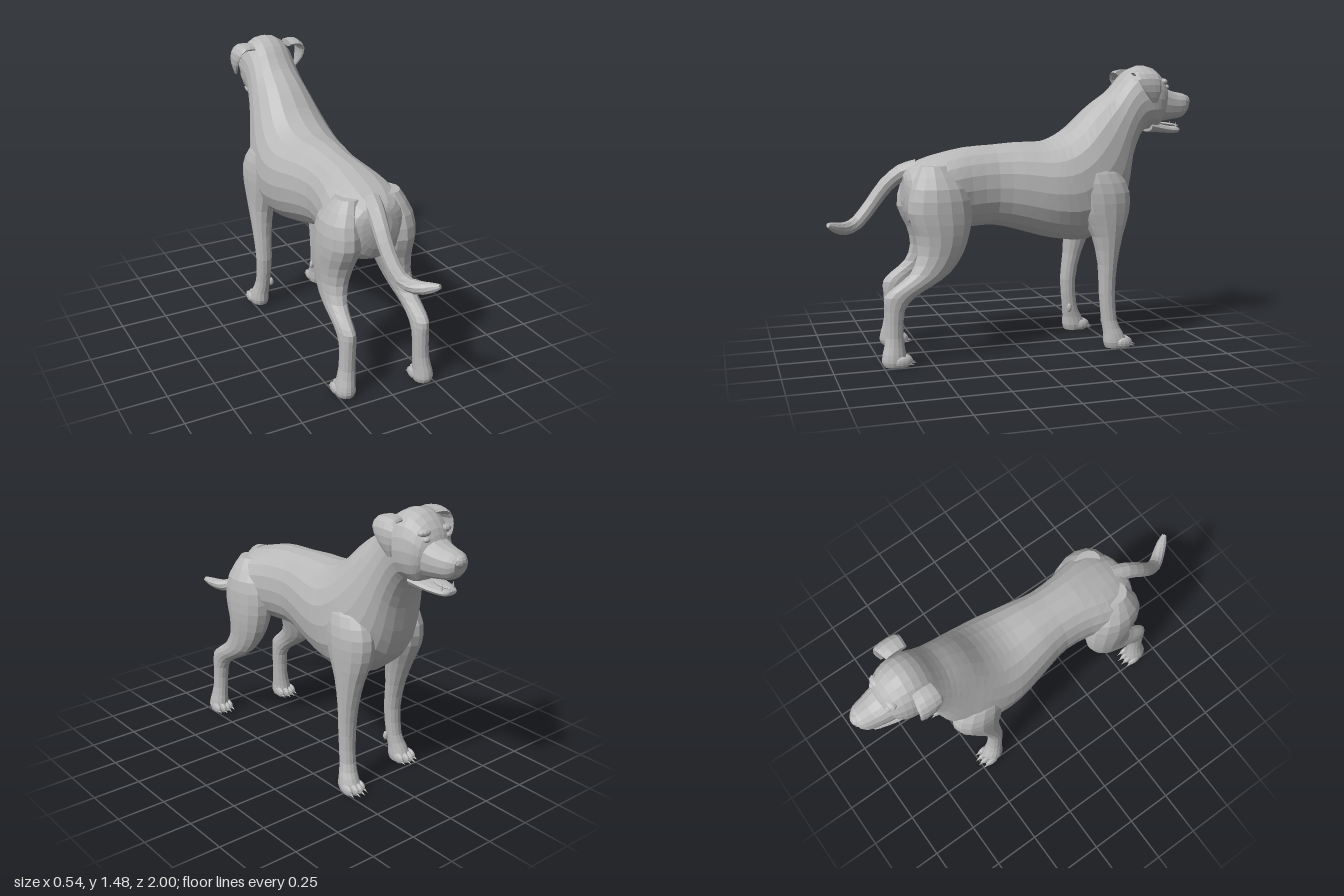
import * as THREE from 'three';

const V = (x, y, z) => new THREE.Vector3(x, y, z);
const coat = new THREE.MeshStandardMaterial({ color: 0xb8b8b8, flatShading: true });
coat.name = 'grey coat';

// Closed skin through oval sections, each { c: centre, u, v: half axes }
function loft(sections, sides = 16, steps = 2, power = 1) {
  const curve = k => new THREE.CatmullRomCurve3(sections.map(s => s[k]), false, 'catmullrom', 0.5);
  const C = curve('c'), U = curve('u'), W = curve('v');
  const rows = (sections.length - 1) * steps;
  const m = sections.length >> 1;
  const travel = sections[m].c.clone().sub(sections[m - 1].c);
  const turn = Math.sign(sections[m].u.clone().cross(sections[m].v).dot(travel));
  const bend = n => Math.sign(n) * Math.abs(n) ** power;
  const pos = [], idx = [];
  for (let i = 0; i <= rows; i++) {
    const c = C.getPoint(i / rows), u = U.getPoint(i / rows), v = W.getPoint(i / rows);
    for (let j = 0; j < sides; j++) {
      const a = j / sides * Math.PI * 2 * turn;
      const p = c.clone().addScaledVector(u, bend(Math.cos(a))).addScaledVector(v, bend(Math.sin(a)));
      pos.push(p.x, p.y, p.z);
    }
  }
  const start = pos.length / 3, a0 = sections[0].c, a1 = sections[sections.length - 1].c;
  pos.push(a0.x, a0.y, a0.z, a1.x, a1.y, a1.z);
  for (let j = 0; j < sides; j++) {
    const k = (j + 1) % sides;
    for (let i = 0; i < rows; i++) {
      const a = i * sides + j, b = i * sides + k;
      idx.push(a, b, a + sides, b, b + sides, a + sides);
    }
    idx.push(start, k, j, start + 1, rows * sides + j, rows * sides + k);
  }
  const g = new THREE.BufferGeometry();
  g.setAttribute('position', new THREE.Float32BufferAttribute(pos, 3));
  g.setIndex(idx);
  g.computeVertexNormals();
  return g;
}

// Section from its top and bottom points in the side plane, plus half width
const slice = ([zt, yt, zb, yb, w]) => ({
  c: V(0, (yt + yb) / 2, (zt + zb) / 2), u: V(0, (yt - yb) / 2, (zt - zb) / 2), v: V(w, 0, 0)
});

export function createModel() {
  const dog = new THREE.Group();
  dog.name = 'dog';
  const add = (name, geometry, parent = dog) => {
    const mesh = new THREE.Mesh(geometry, coat);
    mesh.name = name;
    parent.add(mesh);
    return mesh;
  };
  const ball = (name, parent, x, y, z, rx, ry, rz) => {
    const mesh = add(name, new THREE.SphereGeometry(1, 10, 8), parent);
    mesh.position.set(x, y, z);
    mesh.scale.set(rx, ry, rz);
    return mesh;
  };

  // Trunk, neck and skull
  add('body', loft([
    [0.60, 0.94, 0.605, 0.80, 0.06], [0.575, 0.975, 0.58, 0.70, 0.14],
    [0.50, 1.015, 0.50, 0.655, 0.195], [0.40, 1.045, 0.40, 0.65, 0.21],
    [0.28, 1.07, 0.27, 0.655, 0.18], [0.13, 1.08, 0.13, 0.66, 0.167],
    [0, 1.09, 0, 0.63, 0.192], [-0.10, 1.09, -0.13, 0.59, 0.218],
    [-0.17, 1.10, -0.25, 0.565, 0.235], [-0.24, 1.13, -0.38, 0.56, 0.238],
    [-0.31, 1.18, -0.51, 0.64, 0.225], [-0.38, 1.25, -0.59, 0.73, 0.20],
    [-0.45, 1.305, -0.625, 0.86, 0.177], [-0.51, 1.345, -0.64, 0.98, 0.16],
    [-0.56, 1.395, -0.68, 1.09, 0.147], [-0.61, 1.45, -0.72, 1.14, 0.143],
    [-0.68, 1.485, -0.76, 1.14, 0.142], [-0.76, 1.475, -0.79, 1.145, 0.13],
    [-0.825, 1.415, -0.81, 1.18, 0.105], [-0.85, 1.36, -0.83, 1.21, 0.07]
  ].map(slice), 20, 2, 0.92));

  // Muzzle, nose, open lower jaw and tongue
  add('muzzle', loft([
    [-0.78, 1.41, -0.76, 1.18, 0.105], [-0.85, 1.365, -0.83, 1.185, 0.092],
    [-0.90, 1.345, -0.89, 1.195, 0.08], [-0.955, 1.335, -0.945, 1.205, 0.066],
    [-0.985, 1.315, -0.975, 1.235, 0.042]
  ].map(slice), 16, 2, 0.85));
  ball('nose', dog, 0, 1.295, -0.97, 0.037, 0.032, 0.03);
  add('lowerJaw', loft([
    [-0.74, 1.20, -0.74, 1.13, 0.095], [-0.81, 1.175, -0.81, 1.125, 0.08],
    [-0.87, 1.16, -0.87, 1.12, 0.062], [-0.92, 1.155, -0.92, 1.12, 0.045],
    [-0.935, 1.145, -0.935, 1.13, 0.025]
  ].map(slice), 12, 2, 0.85));
  ball('tongue', dog, 0, 1.168, -0.875, 0.034, 0.009, 0.065).rotation.x = -0.15;

  // Tail hanging down, then curling to the side
  const tail = [[-0.01, 0.965, 0.52, 0.05], [-0.03, 0.945, 0.60, 0.044], [-0.045, 0.88, 0.68, 0.04],
    [-0.045, 0.79, 0.75, 0.037], [-0.025, 0.70, 0.83, 0.036], [0.02, 0.678, 0.90, 0.034],
    [0.06, 0.693, 0.955, 0.026], [0.085, 0.71, 0.99, 0.012]];
  add('tail', loft(tail.map(([x, y, z, r], i) => {
    const a = tail[Math.max(i - 1, 0)], b = tail[Math.min(i + 1, tail.length - 1)];
    const dir = V(b[0] - a[0], b[1] - a[1], b[2] - a[2]).normalize();
    const u = dir.clone().cross(V(1, 0, 0)).normalize();
    return { c: V(x, y, z), u: u.clone().multiplyScalar(r), v: dir.cross(u).multiplyScalar(r) };
  }), 10));

  // Paired parts; shift moves a foot along z to give the uneven stance
  const legSections = (rows, side, shift) => rows.map(([y, z, hz, x, hx]) => ({
    c: V(side * x, y, z + shift * Math.min(1, Math.max(0, (0.75 - y) / 0.4))),
    u: V(0, 0, hz), v: V(hx, 0, 0)
  }));
  const foreleg = [
    [1.02, -0.37, 0.06, 0.12, 0.05], [0.93, -0.40, 0.13, 0.145, 0.085],
    [0.83, -0.43, 0.15, 0.157, 0.098], [0.72, -0.44, 0.135, 0.165, 0.09],
    [0.60, -0.45, 0.085, 0.178, 0.07], [0.45, -0.45, 0.052, 0.187, 0.053],
    [0.30, -0.448, 0.043, 0.19, 0.045], [0.15, -0.46, 0.042, 0.195, 0.041],
    [0.08, -0.48, 0.054, 0.205, 0.047], [0.035, -0.49, 0.065, 0.208, 0.052], [0.005, -0.49, 0.055, 0.208, 0.045]
  ];
  const hindLeg = [
    [0.99, 0.46, 0.07, 0.11, 0.06], [0.88, 0.445, 0.14, 0.14, 0.098],
    [0.76, 0.44, 0.165, 0.148, 0.106], [0.65, 0.43, 0.14, 0.155, 0.097],
    [0.55, 0.445, 0.118, 0.168, 0.075], [0.46, 0.50, 0.105, 0.182, 0.056],
    [0.40, 0.585, 0.10, 0.19, 0.046], [0.35, 0.655, 0.083, 0.19, 0.043],
    [0.28, 0.685, 0.05, 0.19, 0.041], [0.15, 0.69, 0.045, 0.195, 0.041],
    [0.07, 0.695, 0.058, 0.205, 0.048], [0.03, 0.695, 0.063, 0.207, 0.052], [0.005, 0.695, 0.052, 0.207, 0.046]
  ];
  const toes = (name, side, x, z) => {
    const paw = new THREE.Group();
    paw.name = name;
    paw.position.set(side * x, 0, z);
    dog.add(paw);
    for (let i = 0; i < 4; i++) {
      const t = i - 1.5, back = Math.abs(t) > 1 ? 0.016 : 0;
      ball('toe', paw, t * 0.027, 0.03, back, 0.017, 0.029, 0.042);
      const claw = add('claw', new THREE.ConeGeometry(0.007, 0.032, 6), paw);
      claw.position.set(t * 0.029, 0.018, back - 0.045);
      claw.rotation.x = -Math.PI / 2 - 0.3;
    }
  };

  for (const side of [1, -1]) {
    const label = side > 0 ? 'left' : 'right';
    const foreShift = side > 0 ? 0 : 0.08, hindShift = side > 0 ? 0 : -0.06;
    add(label + 'Foreleg', loft(legSections(foreleg, side, foreShift), 14));
    add(label + 'HindLeg', loft(legSections(hindLeg, side, hindShift), 14));
    toes(label + 'FrontPaw', side, 0.212, -0.54 + foreShift);
    toes(label + 'HindPaw', side, 0.208, 0.645 + hindShift);
    ball(label + 'Dewclaw', dog, side * 0.15, 0.14, -0.445 + foreShift, 0.012, 0.025, 0.014);

    // Folded ear flap
    add(label + 'Ear', loft([
      [0.105, 1.445, -0.66, 0.055, 0, 0.018], [0.16, 1.445, -0.665, 0.064, 0.006, 0.016],
      [0.193, 1.41, -0.672, 0.064, 0.011, 0.008], [0.194, 1.35, -0.692, 0.047, 0.011, 0],
      [0.18, 1.29, -0.712, 0.012, 0.005, 0]
    ].map(([x, y, z, h, tx, ty]) => ({ c: V(side * x, y, z), u: V(0, 0, h), v: V(side * tx, ty, 0) })), 10));

    // Eye under a heavy brow, nostril and canine tooth
    ball(label + 'Eye', dog, side * 0.066, 1.372, -0.828, 0.018, 0.013, 0.016);
    ball(label + 'Brow', dog, side * 0.062, 1.40, -0.808, 0.038, 0.018, 0.026);
    ball(label + 'Nostril', dog, side * 0.022, 1.29, -0.978, 0.015, 0.014, 0.014);
    const tooth = add(label + 'Canine', new THREE.ConeGeometry(0.008, 0.035, 6));
    tooth.position.set(side * 0.036, 1.165, -0.905);
  }
  return dog;
}
